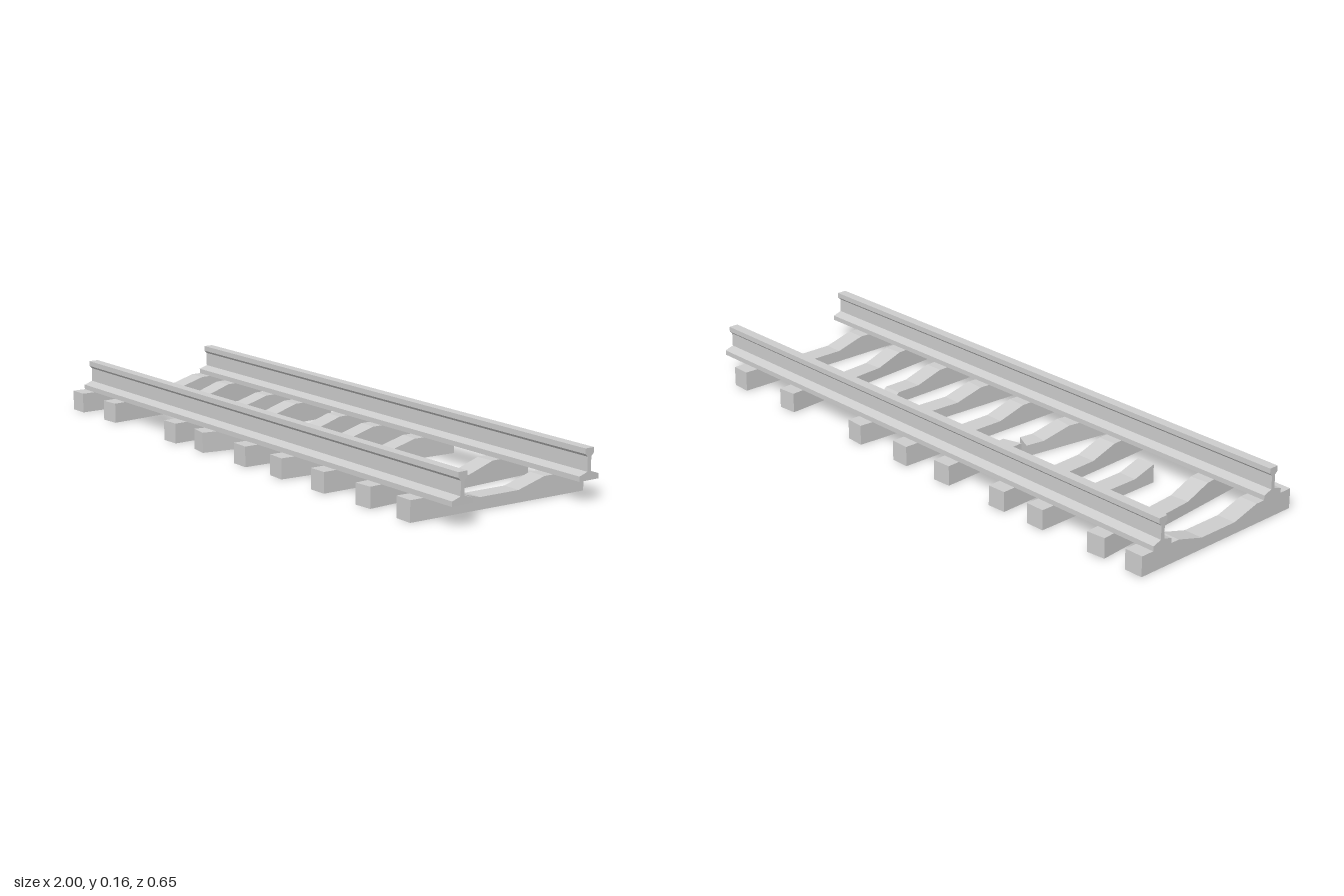
import * as THREE from 'three';

const HALF_W = 0.0325, HALF_L = 0.323;
// height of a sleeper along its length: high under the rails, dished in the middle
const DISH = [[-HALF_L, 0.066], [-0.17, 0.066], [-0.072, 0.038], [0.072, 0.038], [0.17, 0.066], [HALF_L, 0.066]];

function heightAt(z) {
  const i = Math.max(1, DISH.findIndex((p) => z <= p[0]));
  const [z0, h0] = DISH[i - 1], [z1, h1] = DISH[i];
  return h0 + (h1 - h0) * (z - z0) / (z1 - z0);
}

// Hollow concrete sleeper from z = from to z = to. A broken end may be
// skewed across its width or slanted from bottom to top.
function sleeperGeometry({ from = -HALF_L, to = HALF_L, skewFrom = 0, skewTo = 0, slantFrom = 0, closed = false }) {
  const stations = [from, ...DISH.map((p) => p[0]).filter((z) => z > from + 0.04 && z < to - 0.01), to];
  const rings = stations.map((z, i) => {
    const first = i === 0, last = i === stations.length - 1;
    const skew = first ? skewFrom : last ? skewTo : 0;
    const topZ = z + (first ? slantFrom : 0);
    const h = heightAt(topZ);
    return [
      [-HALF_W, 0, z - skew], [HALF_W, 0, z + skew],
      [HALF_W, h, topZ + skew], [-HALF_W, h, topZ - skew],
    ];
  });
  const pos = [];
  const quad = (a, b, c, d) => pos.push(...a, ...b, ...c, ...a, ...c, ...d);
  for (let i = 1; i < rings.length; i++) {
    const a = rings[i - 1], b = rings[i];
    quad(b[1], a[1], a[2], b[2]);
    quad(b[3], b[2], a[2], a[3]);
    quad(a[0], b[0], b[3], a[3]);
    if (closed) quad(a[0], a[1], b[1], b[0]);
  }
  const f = rings[0], l = rings[rings.length - 1];
  quad(f[1], f[0], f[3], f[2]);
  quad(l[0], l[1], l[2], l[3]);
  const g = new THREE.BufferGeometry();
  g.setAttribute('position', new THREE.Float32BufferAttribute(pos, 3));
  g.computeVertexNormals();
  return g;
}

// Rail of I section: wide foot, thin web, narrow head
function railGeometry() {
  const half = [[0.0375, 0.066], [0.0375, 0.082], [0.007, 0.092], [0.007, 0.137], [0.0165, 0.146], [0.0165, 0.163]];
  const outline = [...half, ...half.map(([x, y]) => [-x, y]).reverse()];
  const shape = new THREE.Shape(outline.map(([x, y]) => new THREE.Vector2(x, y)));
  const g = new THREE.ExtrudeGeometry(shape, { depth: 2, bevelEnabled: false });
  g.translate(0, 0, -1);
  g.rotateY(Math.PI / 2);
  return g;
}

export function createModel() {
  const group = new THREE.Group();
  const grey = new THREE.MeshStandardMaterial({ color: 0xcccccc, side: THREE.DoubleSide });
  grey.name = 'weathered grey';

  // two parallel rails
  const rail = railGeometry();
  for (const [name, z] of [['frontRail', 0.24], ['backRail', -0.24]]) {
    const m = new THREE.Mesh(rail, grey);
    m.name = name;
    m.position.z = z;
    group.add(m);
  }

  // crooked sleepers: x at the back end, x at the front end, broken-end options
  const sleepers = [
    [-0.967, -0.967],
    [-0.817, -0.76],
    [-0.567, -0.567, { to: 0.155, closed: true }],
    [-0.402, -0.38],
    [-0.155, -0.127, { to: -0.008, skewTo: -0.008 }],
    [-0.113, -0.217, { from: 0.015, skewFrom: 0.01 }],
    [0.04, 0.022],
    [0.26, 0.216],
    [0.431, 0.431, { from: -0.05, slantFrom: 0.034 }],
    [0.608, 0.652],
    [0.858, 0.84],
  ];
  for (const [xBack, xFront, broken] of sleepers) {
    const m = new THREE.Mesh(sleeperGeometry(broken ?? {}), grey);
    m.name = broken ? 'brokenSleeper' : 'sleeper';
    m.position.x = (xBack + xFront) / 2;
    m.rotation.y = Math.atan2(xFront - xBack, 2 * HALF_L);
    group.add(m);
  }
  return group;
}
